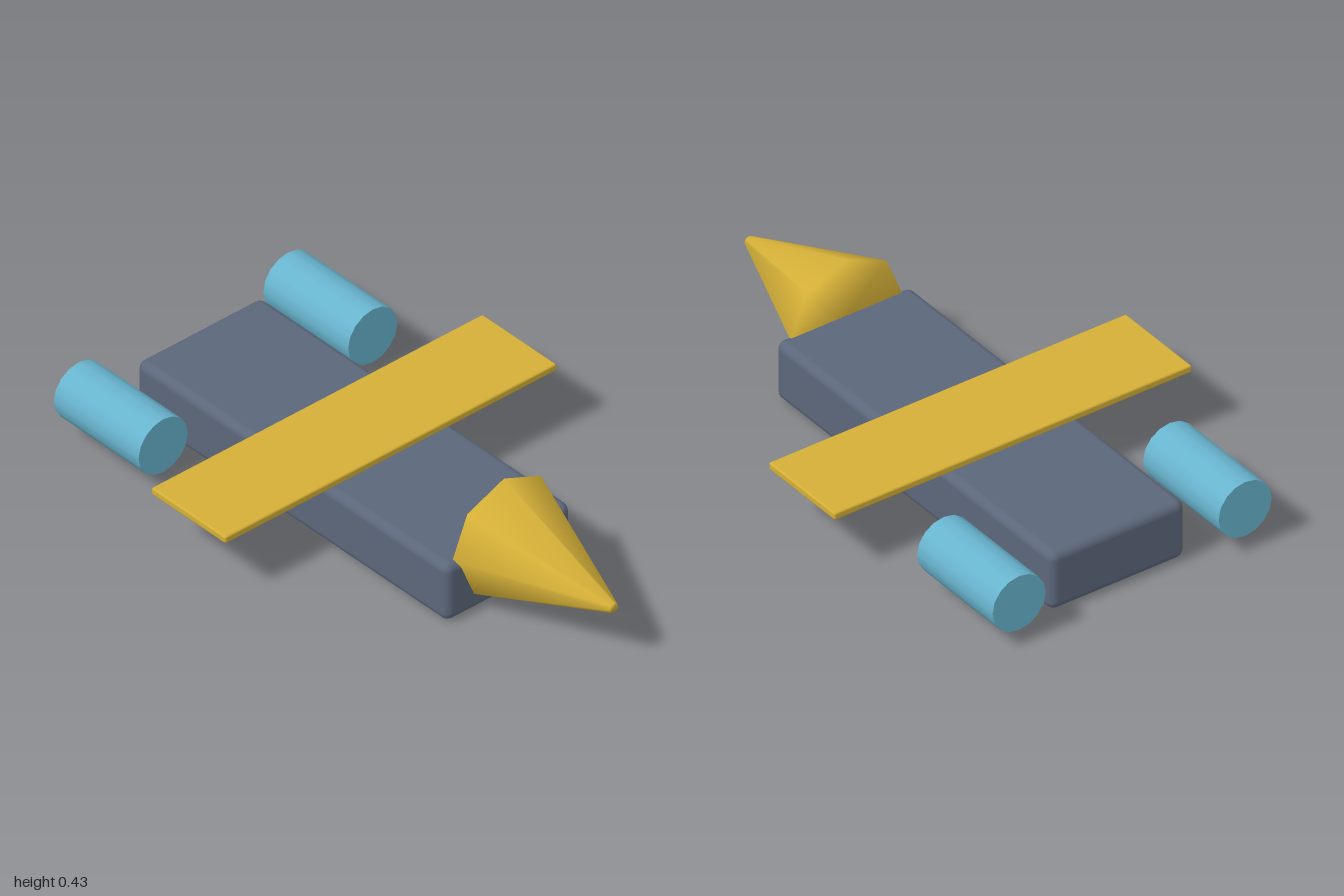
import * as THREE from 'three';
import { RoundedBoxGeometry } from 'three/addons/geometries/RoundedBoxGeometry.js';

function material(name, color) {
  const m = new THREE.MeshStandardMaterial({ color });
  m.name = name;
  return m;
}

export function createModel() {
  const model = new THREE.Group();
  model.name = 'spacecraft';
  const slate = material('slate', 0x5c677b);
  const gold = material('gold', 0xd4af37);
  const skyBlue = material('skyBlue', 0x68b4ce);

  const add = (name, geometry, mat, x, y, z) => {
    const mesh = new THREE.Mesh(geometry, mat);
    mesh.name = name;
    mesh.position.set(x, y, z);
    model.add(mesh);
  };

  // Long hull with softened edges
  add('hull', new RoundedBoxGeometry(0.514, 0.214, 1.444, 3, 0.03), slate, 0, 0.118, -0.208);

  // Thin straight wing lying across the hull
  add('wing', new RoundedBoxGeometry(1.36, 0.027, 0.345, 2, 0.007), gold, 0, 0.235, -0.207);

  // Eight-sided nose cone with a blunt tip, smooth around its closed base
  const profile = [[0, 0.49], [0.213, 0.49], [0.018, 1], [0, 1]]
    .map(([r, z]) => new THREE.Vector2(r, z));
  const nose = new THREE.LatheGeometry(profile, 8);
  nose.rotateX(Math.PI / 2);
  add('nose', nose, gold, 0, 0.218, 0);

  // Pair of engine pods beside the tail
  const pod = new THREE.CylinderGeometry(0.101, 0.101, 0.394, 16);
  pod.rotateX(Math.PI / 2);
  for (const [name, side] of [['leftEngine', 1], ['rightEngine', -1]]) {
    add(name, pod, skyBlue, side * 0.43, 0.161, -0.803);
  }

  return model;
}
